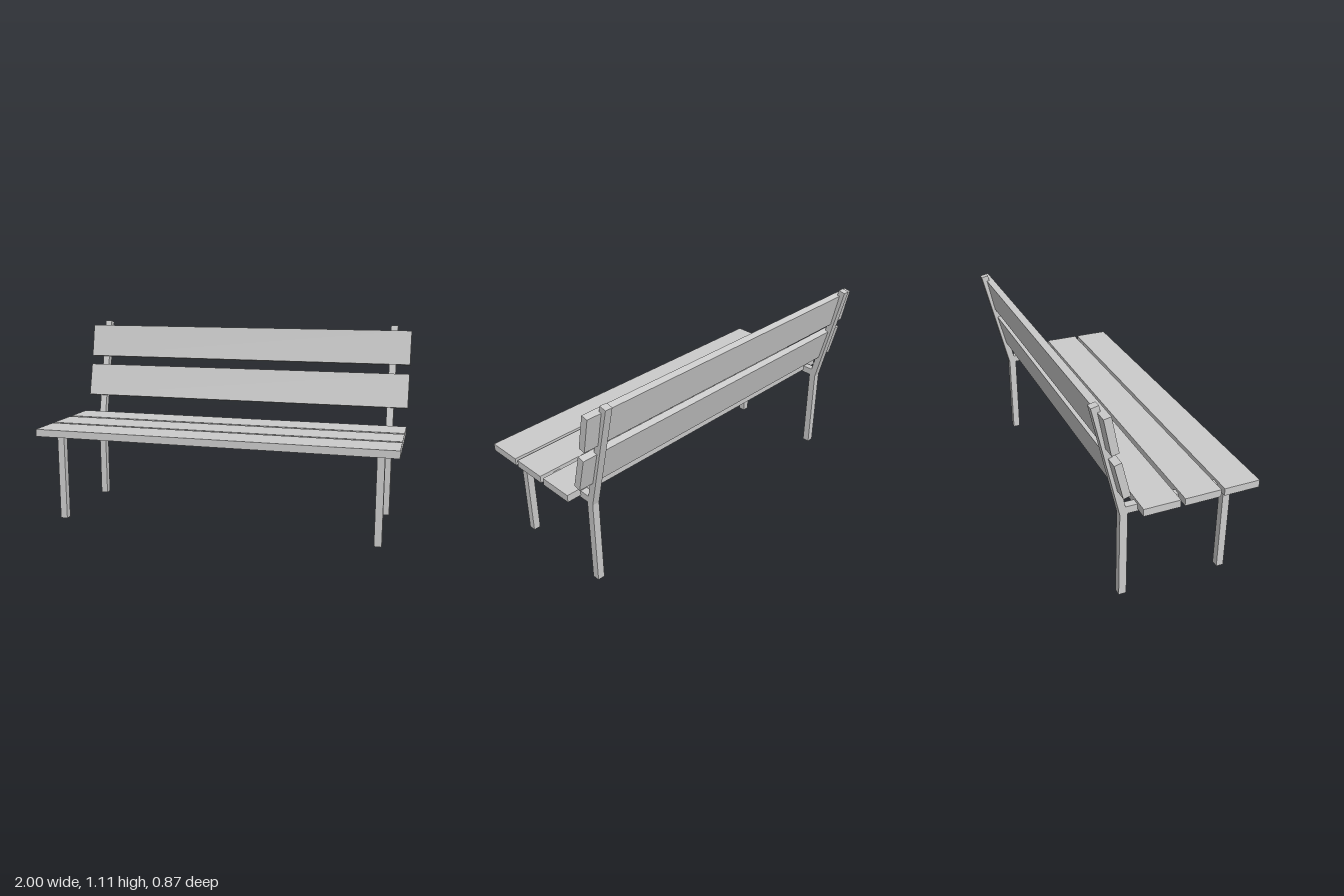
import * as THREE from 'three';

const material = new THREE.MeshStandardMaterial({ color: 0xcccccc, flatShading: true });

// Extrudes a side profile of [z, y] points along x, centred on the given x.
function sidePart(name, profile, width, x = 0) {
  const shape = new THREE.Shape(profile.map(([z, y]) => new THREE.Vector2(-z, y)));
  const geometry = new THREE.ExtrudeGeometry(shape, { depth: width, bevelEnabled: false });
  geometry.translate(0, 0, -width / 2);
  geometry.rotateY(Math.PI / 2);
  const mesh = new THREE.Mesh(geometry, material);
  mesh.name = name;
  mesh.position.x = x;
  return mesh;
}

function plank(name, height, depth, y, z, tilt = 0) {
  const mesh = new THREE.Mesh(new THREE.BoxGeometry(2, height, depth), material);
  mesh.name = name;
  mesh.position.set(0, y, z);
  mesh.rotation.x = tilt;
  return mesh;
}

export function createModel() {
  const bench = new THREE.Group();
  bench.name = 'bench';

  // Side frames: front leg, seat rail and back leg bending into the backrest post
  const frameProfile = [
    [0.315, 0], [0.315, 0.495], [0.33, 0.495], [0.33, 0.535],
    [-0.259, 0.535], [-0.394, 1.109], [-0.433, 1.1], [-0.288, 0.495],
    [-0.288, 0], [-0.247, 0], [-0.247, 0.495], [0.275, 0.495], [0.275, 0],
  ];
  bench.add(sidePart('rightFrame', frameProfile, 0.04, -0.912));
  bench.add(sidePart('leftFrame', frameProfile, 0.04, 0.9));

  // Three seat slats
  [0.337, 0.121, -0.099].forEach((z, i) => {
    bench.add(plank(`seatSlat${i + 1}`, 0.041, 0.197, 0.529, z));
  });

  // Two backrest slats leaning back
  bench.add(plank('lowerBackSlat', 0.197, 0.039, 0.736, -0.307, -0.246));
  bench.add(plank('upperBackSlat', 0.197, 0.039, 0.982, -0.363, -0.2));

  return bench;
}
